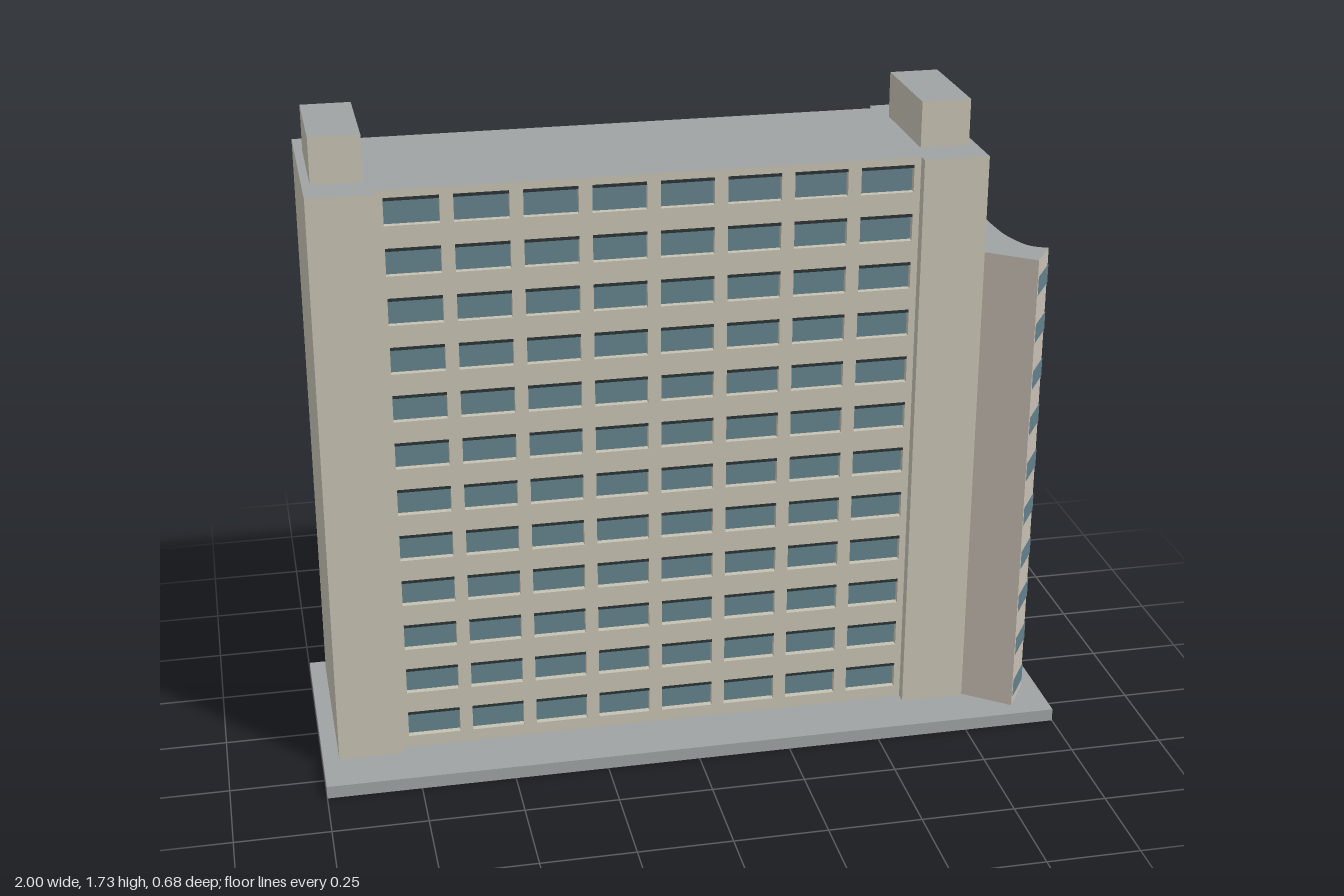
import * as THREE from 'three';

const mat = (name, color, side = THREE.FrontSide) => {
  const m = new THREE.MeshStandardMaterial({ color, side });
  m.name = name;
  return m;
};

export function createModel() {
  const concrete = mat('concrete', 0xc4c0b1);
  const annexWall = mat('annexWall', 0xc8c0b4);
  const paving = mat('grey', 0x9ea2a3);
  const glass = mat('glass', 0x63808a, THREE.DoubleSide);
  const dark = mat('darkLintel', 0x2b3336, THREE.DoubleSide);

  const model = new THREE.Group();
  model.name = 'building';
  const add = (name, geometry, material, parent = model) => {
    const mesh = new THREE.Mesh(geometry, material);
    mesh.name = name;
    parent.add(mesh);
    return mesh;
  };
  // Box from its limits, with a grey top when it is a roofed block
  const block = (name, x0, x1, y0, y1, z0, z1, wall, top = wall) => {
    const mesh = add(name, new THREE.BoxGeometry(x1 - x0, y1 - y0, z1 - z0),
      [wall, wall, top, wall, wall, wall]);
    mesh.position.set((x0 + x1) / 2, (y0 + y1) / 2, (z0 + z1) / 2);
    return mesh;
  };

  const ground = 0.035, roof = 1.605;
  block('basePlate', -1, 1, 0, ground, -0.34, 0.34, paving);

  // End towers with rooftop plant rooms
  for (const [side, x] of [['right', -0.957], ['left', 0.605]]) {
    block(side + 'Tower', x, x + 0.172, ground, roof, -0.3, 0.21, concrete, paving);
    block(side + 'PlantRoom', x + 0.021, x + 0.151, roof, 1.727, -0.19, 0.103, concrete, paving);
  }

  // Main slab behind a pierced front wall
  const xL = -0.785, xR = 0.605, recess = 0.018, front = 0.18;
  block('mainSlab', xL, xR, ground, roof - 0.003, -0.275, front - recess, concrete);
  block('mainRoof', xL, xR, roof - 0.003, roof, -0.275, front, concrete, paving);

  const rect = (Type, x0, y0, x1, y1) => new Type([
    new THREE.Vector2(x0, y0), new THREE.Vector2(x1, y0),
    new THREE.Vector2(x1, y1), new THREE.Vector2(x0, y1)]);
  const wall = rect(THREE.Shape, xL, ground, xR, roof - 0.003);
  const windows = new THREE.Group();
  windows.name = 'frontWindows';
  model.add(windows);
  const winW = 0.139, winH = 0.073;
  const paneGeo = new THREE.PlaneGeometry(winW, winH);
  const lintelGeo = new THREE.BoxGeometry(winW, 0.009, recess - 0.003);
  for (let row = 0; row < 12; row++) {
    for (let col = 0; col < 8; col++) {
      const x = -0.766 + col * 0.1735, y = 0.068 + row * 0.1313;
      wall.holes.push(rect(THREE.Path, x, y, x + winW, y + winH));
      add('windowPane', paneGeo, glass, windows)
        .position.set(x + winW / 2, y + winH / 2, front - recess + 0.001);
      add('windowLintel', lintelGeo, dark, windows)
        .position.set(x + winW / 2, y + winH - 0.0045, front - recess / 2);
    }
  }
  const wallGeo = new THREE.ExtrudeGeometry(wall, { depth: recess, bevelEnabled: false });
  wallGeo.translate(0, 0, front - recess);
  add('frontWall', wallGeo, concrete);

  // Upright ribbon along plan points (x, z), pushed outward by offset
  const ribbon = (points, y0, y1, offset = 0) => {
    const pos = [], index = [];
    points.forEach((p, i) => {
      const a = points[Math.max(i - 1, 0)], b = points[Math.min(i + 1, points.length - 1)];
      const n = new THREE.Vector2(b.y - a.y, a.x - b.x).normalize().multiplyScalar(offset);
      pos.push(p.x + n.x, y0, p.y + n.y, p.x + n.x, y1, p.y + n.y);
      if (i) {
        const k = 2 * i - 2;
        index.push(k, k + 1, k + 2, k + 1, k + 3, k + 2);
      }
    });
    const g = new THREE.BufferGeometry();
    g.setAttribute('position', new THREE.Float32BufferAttribute(pos, 3));
    g.setIndex(index);
    g.computeVertexNormals();
    return g;
  };

  // Curved side annex with a pointed fin at its front
  const annexTop = 1.345;
  const curve = new THREE.SplineCurve([
    [0.777, -0.197], [0.815, -0.195], [0.848, -0.17], [0.864, -0.11], [0.868, 0],
    [0.876, 0.09], [0.9, 0.165], [0.925, 0.193], [0.953, 0.205],
  ].map(([x, z]) => new THREE.Vector2(x, z))).getPoints(40);
  const tail = curve[curve.length - 1];
  const tip = new THREE.Vector2(0.895, 0.295);
  const root = new THREE.Vector2(0.777, 0.205);
  add('annexCurvedWall', ribbon(curve, ground, annexTop), annexWall);
  add('annexFinWall', ribbon([tail, tip], ground, annexTop), annexWall);
  add('annexFrontWall', ribbon([tip, root], ground, annexTop), annexWall);
  const capGeo = new THREE.ShapeGeometry(new THREE.Shape(
    [...curve, tip, root].map(p => new THREE.Vector2(p.x, -p.y))));
  capGeo.rotateX(-Math.PI / 2);
  capGeo.translate(0, annexTop, 0);
  add('annexRoof', capGeo, paving);

  // Ribbon windows on the curve and the fin
  const bandCurve = curve.slice(4, -4);
  for (let row = 0; row < 10; row++) {
    const y = 0.062 + row * 0.1318;
    add('curvedWindowBand', ribbon(bandCurve, y, y + 0.052, 0.002), glass);
    add('curvedWindowLintel', ribbon(bandCurve, y + 0.046, y + 0.054, 0.003), dark);
    add('finWindowBand', ribbon([tail, tip], y, y + 0.052, 0.002), glass);
  }
  return model;
}
